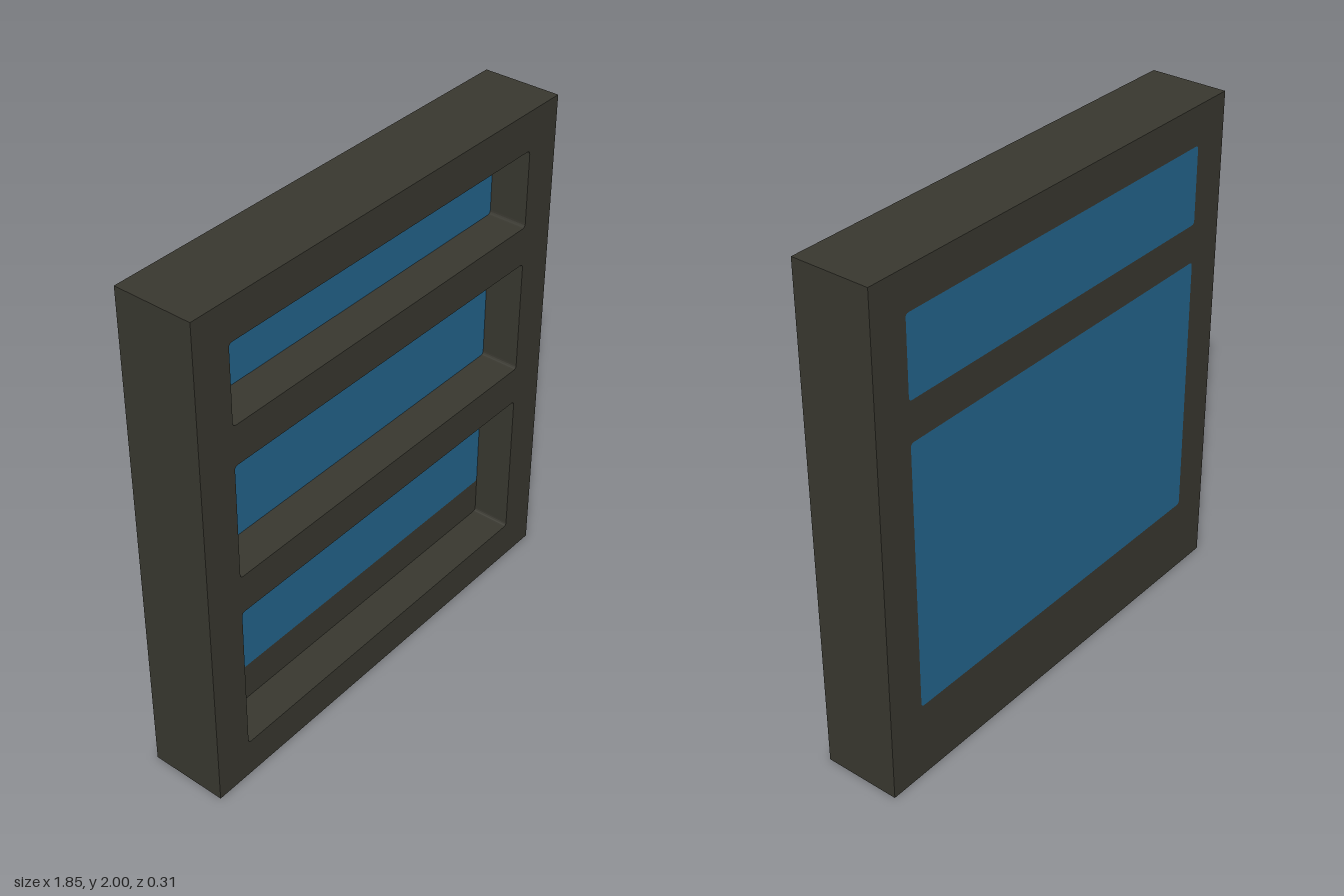
import * as THREE from 'three';

const U = 2 / 13;            // one module of the frame grid
const HALF_W = 6 * U;
const OPEN_W = 5 * U;        // half width of the openings
const R = 0.015;             // corner radius of the openings

// Rectangle outline with slightly rounded corners
function roundedRect(target, y0, y1) {
  const w = OPEN_W;
  target.moveTo(-w + R, y0);
  target.lineTo(w - R, y0);
  target.quadraticCurveTo(w, y0, w, y0 + R);
  target.lineTo(w, y1 - R);
  target.quadraticCurveTo(w, y1, w - R, y1);
  target.lineTo(-w + R, y1);
  target.quadraticCurveTo(-w, y1, -w, y1 - R);
  target.lineTo(-w, y0 + R);
  target.quadraticCurveTo(-w, y0, -w + R, y0);
  return target;
}

function extrude(shape, z, depth) {
  const geometry = new THREE.ExtrudeGeometry(shape, { depth, bevelEnabled: false, curveSegments: 4 });
  return geometry.translate(0, 0, z);
}

// Full-size slab pierced by openings given as [bottom, top]
function slab(openings, z) {
  const shape = new THREE.Shape([
    new THREE.Vector2(-HALF_W, 0), new THREE.Vector2(HALF_W, 0),
    new THREE.Vector2(HALF_W, 2), new THREE.Vector2(-HALF_W, 2),
  ]);
  for (const [y0, y1] of openings) shape.holes.push(roundedRect(new THREE.Path(), y0, y1));
  return extrude(shape, z, U);
}

export function createModel() {
  const group = new THREE.Group();
  const frameMaterial = new THREE.MeshStandardMaterial({ color: 0x38372f });
  frameMaterial.name = 'dark frame';
  const glassMaterial = new THREE.MeshStandardMaterial({ color: 0x23648c });
  glassMaterial.name = 'blue glass';

  const add = (name, geometry, material) => {
    const mesh = new THREE.Mesh(geometry, material);
    mesh.name = name;
    group.add(mesh);
  };

  // Front half: three deep openings separated by crossbars
  add('frontFrame', slab([[U, 5 * U], [6 * U, 9 * U], [10 * U, 12 * U]], 0), frameMaterial);

  // Back half: two openings filled flush with panes
  const panes = [[2 * U, 9 * U], [10 * U, 12 * U]];
  add('backFrame', slab(panes, -U), frameMaterial);
  panes.forEach(([y0, y1], i) => {
    const name = i === 0 ? 'lowerPane' : 'upperPane';
    add(name, extrude(roundedRect(new THREE.Shape(), y0, y1), -U, U), glassMaterial);
  });

  return group;
}
